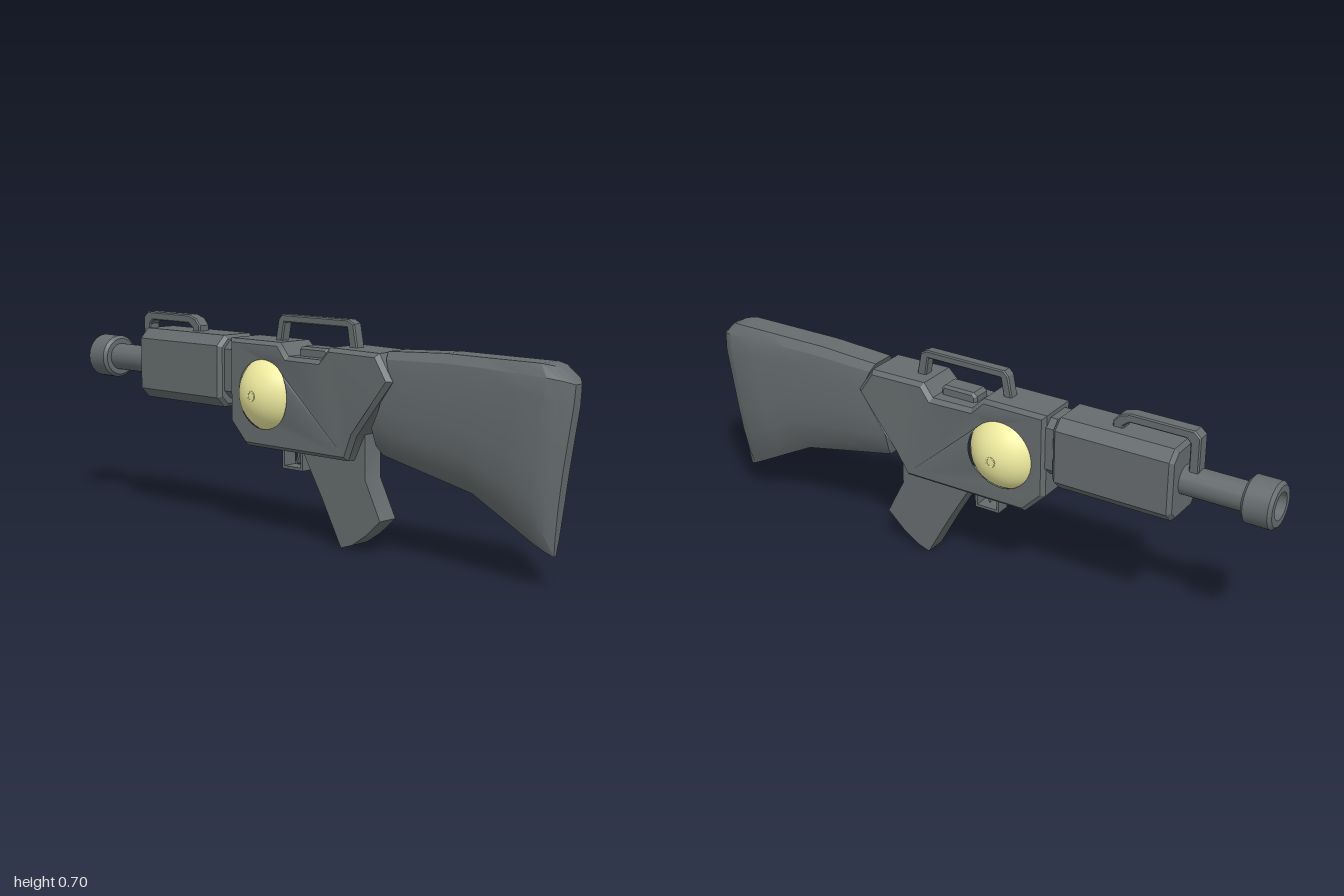
import * as THREE from 'three';
import { toCreasedNormals } from 'three/addons/utils/BufferGeometryUtils.js';

const dark = new THREE.MeshStandardMaterial({ color: 0x666c6e });
const yellow = new THREE.MeshStandardMaterial({ color: 0xf0eca0 });

// Linear interpolation through [position, value] pairs
function sample(table, t) {
  for (let i = 1; i < table.length; i++) {
    const [a, va] = table[i - 1], [b, vb] = table[i];
    if (t <= b) return va + (vb - va) * (t - a) / (b - a);
  }
  return table[table.length - 1][1];
}

const outline = pts => new THREE.Shape(pts.map(p => new THREE.Vector2(...p)));

// Extrusion of a side outline, centred on z = 0, with chamfered edges
function slab(shape, width, bevel = 0) {
  const depth = width - 2 * bevel;
  const g = new THREE.ExtrudeGeometry(shape, {
    depth, curveSegments: 24, bevelEnabled: bevel > 0,
    bevelThickness: bevel, bevelSize: bevel, bevelOffset: -bevel, bevelSegments: 1,
  });
  return g.translate(0, 0, -depth / 2);
}

// Block with an eight-sided section running along x
function octagonBlock(x0, x1, y, hy, hz, cut, bevel) {
  const pts = [[hz, hy - cut], [hz - cut, hy], [cut - hz, hy], [-hz, hy - cut],
    [-hz, cut - hy], [cut - hz, -hy], [hz - cut, -hy], [hz, cut - hy]];
  return slab(outline(pts), x1 - x0, bevel).rotateY(Math.PI / 2).translate((x0 + x1) / 2, y, 0);
}

// Stock: rings of [width share, height share], sheared to the slanted ends
function stockGeometry() {
  const half = [[0.3, 0], [0.66, 0.1], [0.92, 0.27], [1, 0.45], [1, 0.82], [0.9, 0.93], [0.6, 1]];
  const ring = [...half, ...half.map(([w, f]) => [-w, f]).reverse()];
  const frontX = [[0, 0.325], [0.22, 0.305], [0.73, 0.395], [1, 0.36]];
  const rearX = [[0, 0.935], [0.4, 0.96], [0.8, 0.995], [0.93, 1], [1, 0.965]];
  const bottom = [[0, 0.305], [0.55, 0.235], [1, 0.092]];
  const top = [[0, 0.62], [0.35, 0.63], [0.94, 0.628], [1, 0.612]];
  const width = [[0, 0.066], [0.1, 0.068], [0.9, 0.068], [0.96, 0.05], [1, 0.016]];
  const stations = [0, 0.1, 0.35, 0.55, 0.75, 0.9, 0.96, 1];
  const pos = [], index = [], n = ring.length;
  for (const u of stations) {
    for (const [w, f] of ring) {
      const x = THREE.MathUtils.lerp(sample(frontX, f), sample(rearX, f), u);
      const y = THREE.MathUtils.lerp(sample(bottom, u), sample(top, u), f);
      pos.push(x, y, w * sample(width, u));
    }
  }
  for (let s = 0; s < stations.length - 1; s++) {
    for (let i = 0; i < n; i++) {
      const a = s * n + i, b = s * n + (i + 1) % n;
      index.push(a, a + n, b, b, a + n, b + n);
    }
  }
  // End caps, bridged left to right
  const last = (stations.length - 1) * n;
  for (let i = 0; i < half.length - 1; i++) {
    const j = n - 1 - i;
    index.push(i, i + 1, j, i + 1, j - 1, j);
    index.push(last + i, last + j, last + i + 1, last + i + 1, last + j, last + j - 1);
  }
  // Make the winding face outward
  const g = new THREE.BufferGeometry();
  g.setAttribute('position', new THREE.Float32BufferAttribute(pos, 3));
  g.setIndex(index);
  g.computeVertexNormals();
  const k = 3 * n + 3; // a vertex on the +z flank
  if (g.attributes.normal.getZ(k) < 0) {
    for (let i = 0; i < index.length; i += 3) [index[i], index[i + 1]] = [index[i + 1], index[i]];
    g.setIndex(index);
  }
  return g;
}

export function createModel() {
  const model = new THREE.Group();
  model.name = 'toyBlaster';
  const add = (name, geometry, material = dark, crease = 0.5) => {
    const mesh = new THREE.Mesh(toCreasedNormals(geometry, crease), material);
    mesh.name = name;
    model.add(mesh);
    return mesh;
  };

  // Barrel with hollow muzzle collar, turned around the x axis
  const barrel = [[0, 0.69], [0.045, 0.69], [0.045, 0.905], [0.062, 0.905], [0.072, 0.915],
    [0.072, 0.99], [0.062, 1], [0.042, 1], [0.042, 0.93], [0, 0.93]];
  add('barrel', new THREE.LatheGeometry(barrel.map(p => new THREE.Vector2(...p)), 32)
    .rotateZ(Math.PI / 2).translate(0, 0.505, 0));

  // Fore-end and the neck behind it
  add('handguard', octagonBlock(-0.705, -0.31, 0.506, 0.116, 0.088, 0.032, 0.012));
  add('neck', octagonBlock(-0.33, -0.26, 0.512, 0.093, 0.066, 0.025, 0));

  // Front sight loop
  add('frontSight', slab(outline([[-0.755, 0.54], [-0.755, 0.655], [-0.735, 0.673], [-0.53, 0.673],
    [-0.495, 0.662], [-0.475, 0.64], [-0.475, 0.61], [-0.51, 0.61], [-0.51, 0.63], [-0.53, 0.645],
    [-0.71, 0.645], [-0.723, 0.632], [-0.723, 0.54]]), 0.044, 0.004));

  // Receiver with a round window, swelling toward the rear
  const body = outline([[-0.28, 0.618], [-0.06, 0.618], [-0.02, 0.578], [0.12, 0.578], [0.155, 0.618],
    [0.35, 0.615], [0.403, 0.535], [0.3, 0.4], [0.265, 0.36], [0.225, 0.28], [-0.21, 0.28], [-0.28, 0.35]]);
  const windowHole = new THREE.Path();
  windowHole.absarc(-0.125, 0.45, 0.122, 0, Math.PI * 2, true);
  body.holes.push(windowHole);
  const receiver = slab(body, 0.15, 0.012);
  const p = receiver.attributes.position;
  const swellX = [[-0.06, 1], [0.02, 1.2], [0.33, 1.2], [0.41, 1.08]];
  const swellY = [[0.28, 0], [0.4, 1], [0.55, 1], [0.62, 0.4]];
  for (let i = 0; i < p.count; i++) {
    const gain = sample(swellX, Math.max(p.getX(i), -0.06)) - 1;
    p.setZ(i, p.getZ(i) * (1 + gain * sample(swellY, Math.max(p.getY(i), 0.28))));
  }
  add('receiver', receiver);

  // Glowing ball and its small ring on both sides
  add('ball', new THREE.SphereGeometry(0.131, 40, 28).translate(-0.125, 0.45, 0), yellow, 1);
  for (const side of [1, -1]) {
    add('ballRing', new THREE.TorusGeometry(0.014, 0.003, 8, 20)
      .translate(-0.125, 0.45, side * 0.129), yellow, 1);
  }

  // Carry handle and the block below it
  add('carryHandle', slab(outline([[-0.13, 0.61], [-0.115, 0.685], [-0.1, 0.7], [0.18, 0.7],
    [0.203, 0.688], [0.218, 0.61], [0.185, 0.61], [0.175, 0.675], [-0.088, 0.675], [-0.1, 0.61]]), 0.036, 0.004));
  add('bolt', slab(outline([[-0.012, 0.565], [-0.012, 0.597], [0, 0.608], [0.105, 0.608],
    [0.116, 0.597], [0.116, 0.565]]), 0.07, 0.008));

  // Magazine
  add('magazine', slab(outline([[0, 0.3], [0.018, 0.265], [0.09, 0.145], [0.17, 0], [0.215, 0.015],
    [0.27, 0.052], [0.328, 0.105], [0.267, 0.225], [0.267, 0.38], [0.2, 0.4]]), 0.071));

  // Trigger and guard
  const guard = outline([[-0.09, 0.29], [-0.09, 0.215], [-0.003, 0.215], [-0.003, 0.29]]);
  guard.holes.push(new THREE.Path([[-0.082, 0.28], [-0.011, 0.28], [-0.011, 0.224], [-0.082, 0.224]]
    .map(q => new THREE.Vector2(...q))));
  add('triggerGuard', slab(guard, 0.05));
  add('trigger', slab(outline([[-0.045, 0.285], [-0.03, 0.285], [-0.033, 0.255], [-0.045, 0.232],
    [-0.05, 0.235], [-0.041, 0.257]]), 0.016));

  // Shoulder stock
  add('stock', stockGeometry(), dark, 0.45);

  return model;
}
